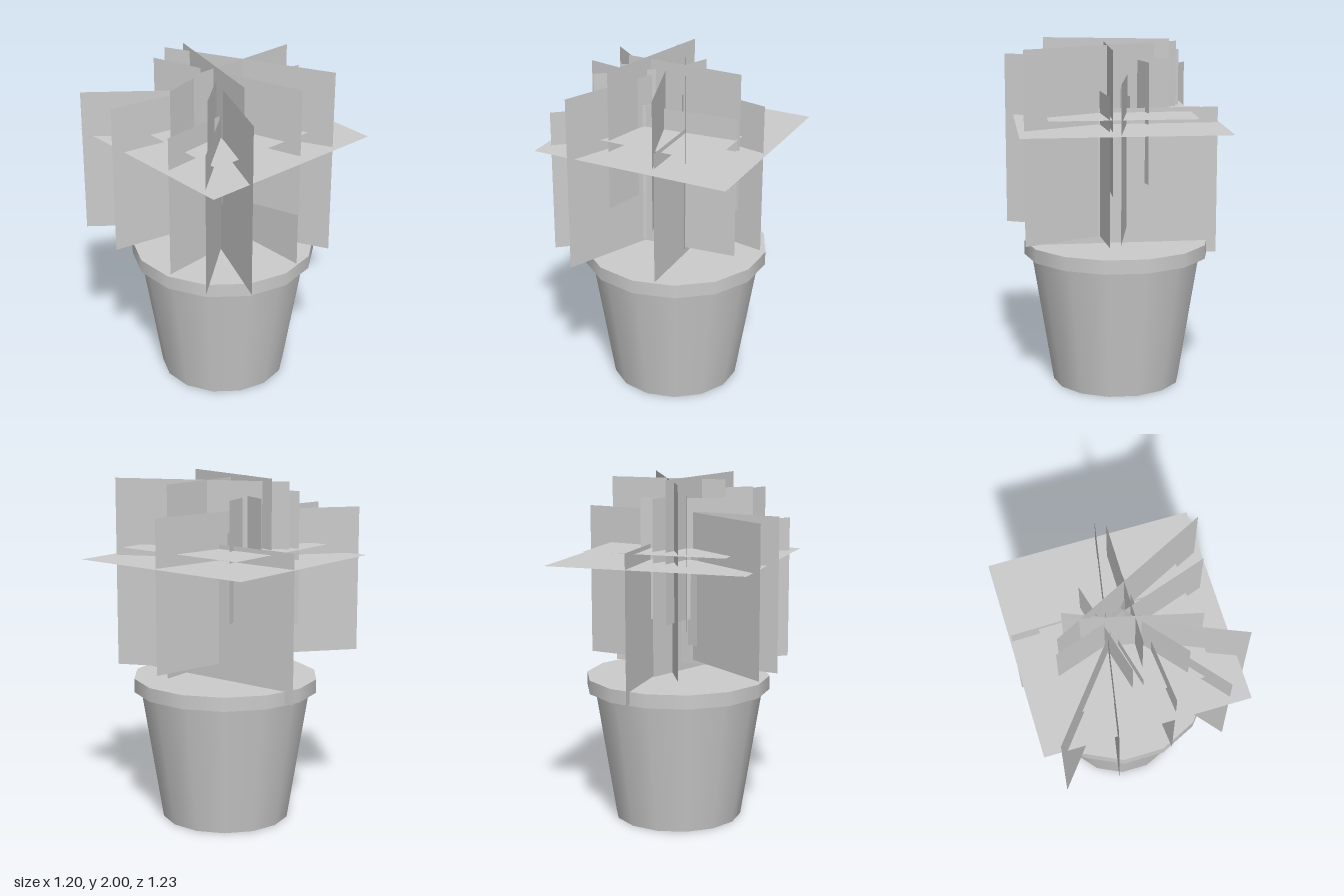
import * as THREE from 'three';

const CX = -0.025, CZ = -0.035; // pot axis
const potMaterial = new THREE.MeshStandardMaterial({ color: 0xcccccc });
const leafMaterial = new THREE.MeshStandardMaterial({ color: 0xcccccc, side: THREE.DoubleSide });

// Tapered 14-sided section with corners on the x axis
function potSection(name, rTop, rBottom, y0, y1) {
  const mesh = new THREE.Mesh(new THREE.CylinderGeometry(rTop, rBottom, y1 - y0, 14), potMaterial);
  mesh.name = name;
  mesh.rotation.y = Math.PI / 2;
  mesh.position.set(CX, (y0 + y1) / 2, CZ);
  return mesh;
}

// Upright card standing between two ground points
function uprightCard(x0, z0, x1, z1, y0, y1) {
  const width = Math.hypot(x1 - x0, z1 - z0);
  const mesh = new THREE.Mesh(new THREE.PlaneGeometry(width, y1 - y0), leafMaterial);
  mesh.rotation.y = -Math.atan2(z1 - z0, x1 - x0);
  mesh.position.set((x0 + x1) / 2, (y0 + y1) / 2, (z0 + z1) / 2);
  return mesh;
}

// Level square card
function levelCard(size, y) {
  const mesh = new THREE.Mesh(new THREE.PlaneGeometry(size, size), leafMaterial);
  mesh.rotation.x = -Math.PI / 2;
  mesh.position.set(CX, y, CZ);
  return mesh;
}

export function createModel() {
  const model = new THREE.Group();
  model.name = 'pottedPlant';

  // Pot
  const pot = new THREE.Group();
  pot.name = 'pot';
  pot.add(potSection('potBody', 0.495, 0.372, 0, 0.765));
  pot.add(potSection('potRim', 0.537, 0.537, 0.765, 0.845));
  model.add(pot);

  // Foliage: x0, z0, x1, z1, bottom, top
  const cards = [
    [-0.595, -0.14, 0.475, -0.155, 0.775, 1.625],
    [-0.515, 0.595, 0.05, -0.12, 0.955, 1.805],
    [-0.21, 0.615, 0.01, -0.59, 0.935, 1.81],
    [-0.385, 0.09, 0.52, -0.365, 0.885, 1.98],
    [0.035, 0.23, 0.04, -0.46, 1.175, 1.98],
    [-0.33, 0, 0.38, 0.175, 1.19, 2],
    [-0.32, -0.08, 0.6, 0.31, 0.885, 1.895],
    [-0.41, 0.15, 0.485, -0.15, 1.165, 1.925],
    [-0.03, -0.02, 0.26, 0.33, 1.135, 1.925],
    [-0.19, -0.2, -0.05, 0.33, 1.19, 1.885],
    [-0.095, -0.1, 0.01, 0.33, 1.08, 1.685],
    [0.055, -0.45, 0.14, 0.505, 0.885, 1.725],
    [-0.07, -0.12, 0.445, 0.505, 0.895, 1.73],
    [-0.18, 0.2, -0.03, -0.1, 1.04, 1.6],
  ];
  const foliage = new THREE.Group();
  foliage.name = 'foliage';
  cards.forEach((c, i) => {
    const card = uprightCard(...c);
    card.name = `uprightLeafCard${i + 1}`;
    foliage.add(card);
  });
  [[1.16, 1.535], [0.83, 1.6]].forEach(([size, y], i) => {
    const card = levelCard(size, y);
    card.name = `levelLeafCard${i + 1}`;
    foliage.add(card);
  });
  model.add(foliage);
  return model;
}
